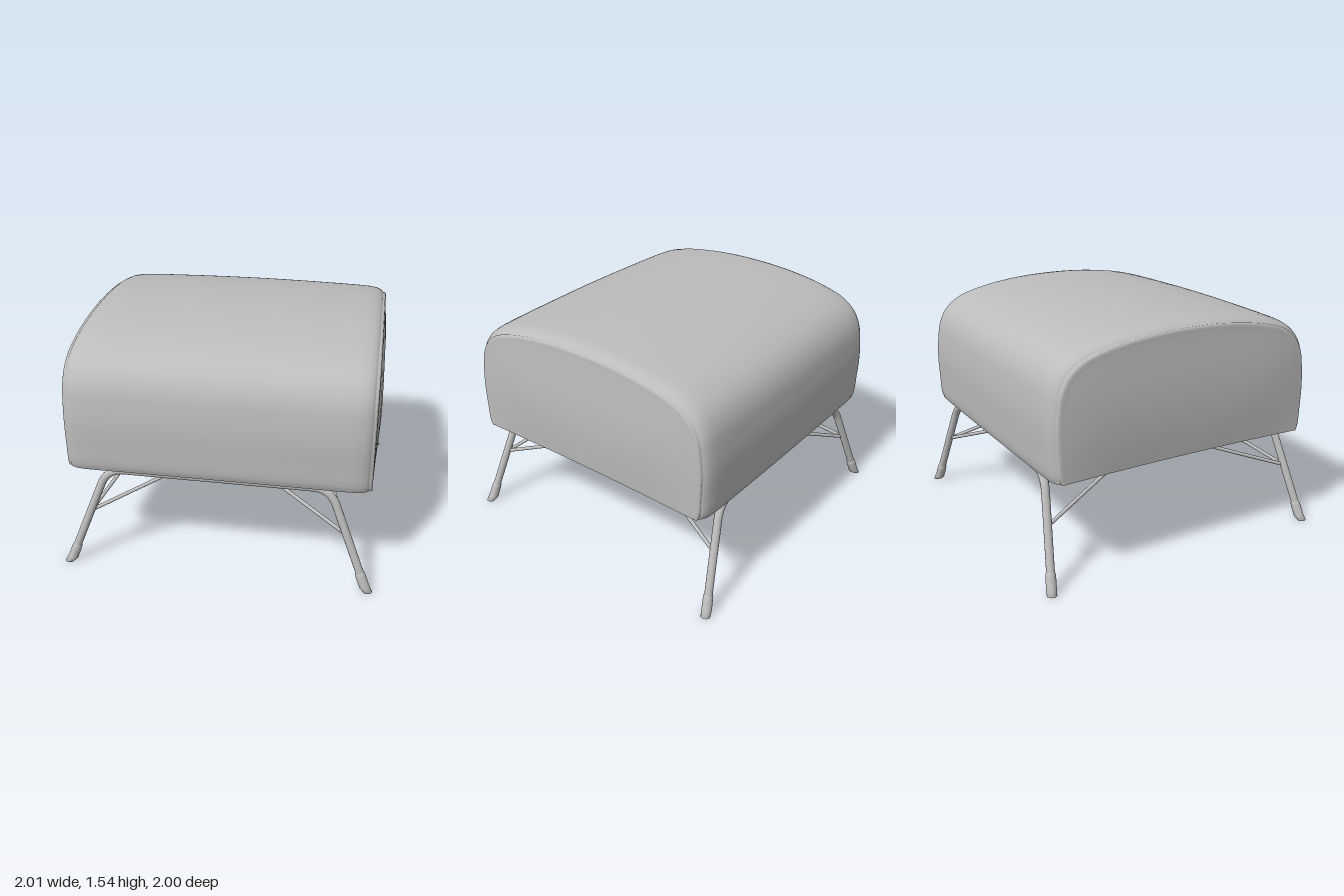
import * as THREE from 'three';

const V = (x, y, z) => new THREE.Vector3(x, y, z);
const BASE = 0.69;

// Surface through rows of points (all rows equally long)
function gridSurface(rows) {
  const n = rows[0].length, index = [];
  for (let i = 0; i < rows.length - 1; i++) {
    for (let j = 0; j < n - 1; j++) {
      const a = i * n + j, b = a + n;
      index.push(a, b, b + 1, a, b + 1, a + 1);
    }
  }
  const g = new THREE.BufferGeometry().setFromPoints(rows.flat());
  g.setIndex(index);
  g.computeVertexNormals();
  return g;
}

// Domed side profile of the cushion, front bottom edge -> top -> back bottom edge
function cushionProfile() {
  const half = [[0.932, 0.69], [0.945, 0.73], [0.952, 0.85], [0.957, 1.0], [0.948, 1.13], [0.925, 1.26],
    [0.87, 1.36], [0.77, 1.435], [0.6, 1.488], [0.4, 1.522], [0.2, 1.54]].map(([z, y]) => V(0, y, z));
  const back = half.map((p) => V(0, p.y, -p.z)).reverse();
  return new THREE.CatmullRomCurve3([...half, V(0, 1.545, 0), ...back], false, 'centripetal').getPoints(96);
}

// Cross-sections along x: [x, scale]; the last ones close the bulging side panel
const HALF_STATIONS = [[0.2, 0.999], [0.4, 0.996], [0.6, 0.992], [0.75, 0.988], [0.84, 0.983], [0.89, 0.975],
  [0.92, 0.962], [0.934, 0.949], [0.938, 0.941], [0.945, 0.943], [0.953, 0.938], [0.958, 0.926],
  [0.957, 0.912], [0.958, 0.895], [0.958, 0.85], [0.958, 0.75], [0.958, 0.6], [0.958, 0.4], [0.958, 0.2], [0.958, 0]];
const STATIONS = [
  ...HALF_STATIONS.map(([x, s]) => [-x, s]).reverse(), [0, 1], ...HALF_STATIONS];

function cushionPoint(x, s, p) {
  const y = BASE + (p.y - BASE) * s, z = p.z * s;
  const v = (y - BASE) / 0.8;
  const bulge = Math.abs(x) > 0.95 ? 0.028 * Math.max(0, 1 - (s / 0.91) ** 4) * Math.sin(Math.PI * Math.min(1, v)) : 0;
  const sag = 0.018 * x * x * z * z * Math.max(0, 1 - v * 3);
  return V(x + Math.sign(x) * bulge, y - sag, z);
}

function buildCushion(material) {
  const group = new THREE.Group();
  group.name = 'cushion';
  const profile = cushionProfile();
  const cover = new THREE.Mesh(
    gridSurface(STATIONS.map(([x, s]) => profile.map((p) => cushionPoint(x, s, p)))), material);
  cover.name = 'cushionCover';

  // Underside, meeting the lower rim of the cover
  const depth = profile[0].z;
  const rows = STATIONS.map(([x, s]) =>
    Array.from({ length: 17 }, (_, j) => cushionPoint(x, s, V(0, BASE, depth * (j / 8 - 1)))));
  const underside = new THREE.Mesh(gridSurface(rows), material);
  underside.name = 'cushionUnderside';
  group.add(cover, underside);
  return group;
}

// Turned shape standing on point a and pointing to b
function turned(profile, a, b) {
  const g = new THREE.LatheGeometry(profile.map(([r, y]) => new THREE.Vector2(r, y)), 20);
  g.applyQuaternion(new THREE.Quaternion().setFromUnitVectors(V(0, 1, 0), b.clone().sub(a).normalize()));
  return g.translate(a.x, a.y, a.z);
}

// Bent tube: two splayed legs joined by a rail under the cushion
function legFramePath() {
  const foot = V(0.955, 0.03, 0.961), bendLow = V(0.75, 0.555, 0.885);
  const corner = V(0.708, 0.665, 0.87), bendHigh = V(0.6, 0.665, 0.87);
  const m = (p) => V(-p.x, p.y, p.z);
  const path = new THREE.CurvePath();
  path.add(new THREE.LineCurve3(foot, bendLow));
  path.add(new THREE.QuadraticBezierCurve3(bendLow, corner, bendHigh));
  path.add(new THREE.LineCurve3(bendHigh, m(bendHigh)));
  path.add(new THREE.QuadraticBezierCurve3(m(bendHigh), m(corner), m(bendLow)));
  path.add(new THREE.LineCurve3(m(bendLow), m(foot)));
  return path;
}

export function createModel() {
  const model = new THREE.Group();
  model.name = 'ottoman';
  const grey = new THREE.MeshStandardMaterial({ color: 0xbcbcbc });
  grey.name = 'grey';
  const add = (geometry, name) => {
    const mesh = new THREE.Mesh(geometry, grey);
    mesh.name = name;
    model.add(mesh);
  };

  model.add(buildCushion(grey));

  // Support ring under the cushion
  add(new THREE.TorusGeometry(0.555, 0.022, 14, 72).rotateX(Math.PI / 2).translate(0, 0.668, 0), 'supportRing');

  for (const sz of [1, -1]) {
    const frame = new THREE.TubeGeometry(legFramePath(), 120, 0.026, 14);
    if (sz < 0) frame.rotateY(Math.PI);
    add(frame, sz > 0 ? 'frontLegFrame' : 'backLegFrame');

    for (const sx of [1, -1]) {
      // Foot sleeve, cut level with the floor
      const foot = turned([[0, -0.03], [0.031, -0.03], [0.032, 0.03], [0.032, 0.105], [0.03, 0.125], [0.024, 0.135]],
        V(sx * 0.965, 0, sz * 0.965), V(sx * 0.75, 0.555, sz * 0.885));
      const pos = foot.attributes.position;
      for (let i = 0; i < pos.count; i++) pos.setY(i, Math.max(0, pos.getY(i)));
      foot.computeVertexNormals();
      add(foot, 'foot');

      // Pair of thin braces from the leg to the ring
      const joint = V(sx * 0.818, 0.37, sz * 0.908);
      for (const [x, z] of [[0.09, 0.55], [0.55, 0.09]]) {
        const end = V(sx * x, 0.662, sz * z);
        const length = joint.distanceTo(end);
        add(turned([[0.012, 0], [0.012, length]], joint, end), 'brace');
      }
    }
  }
  return model;
}
